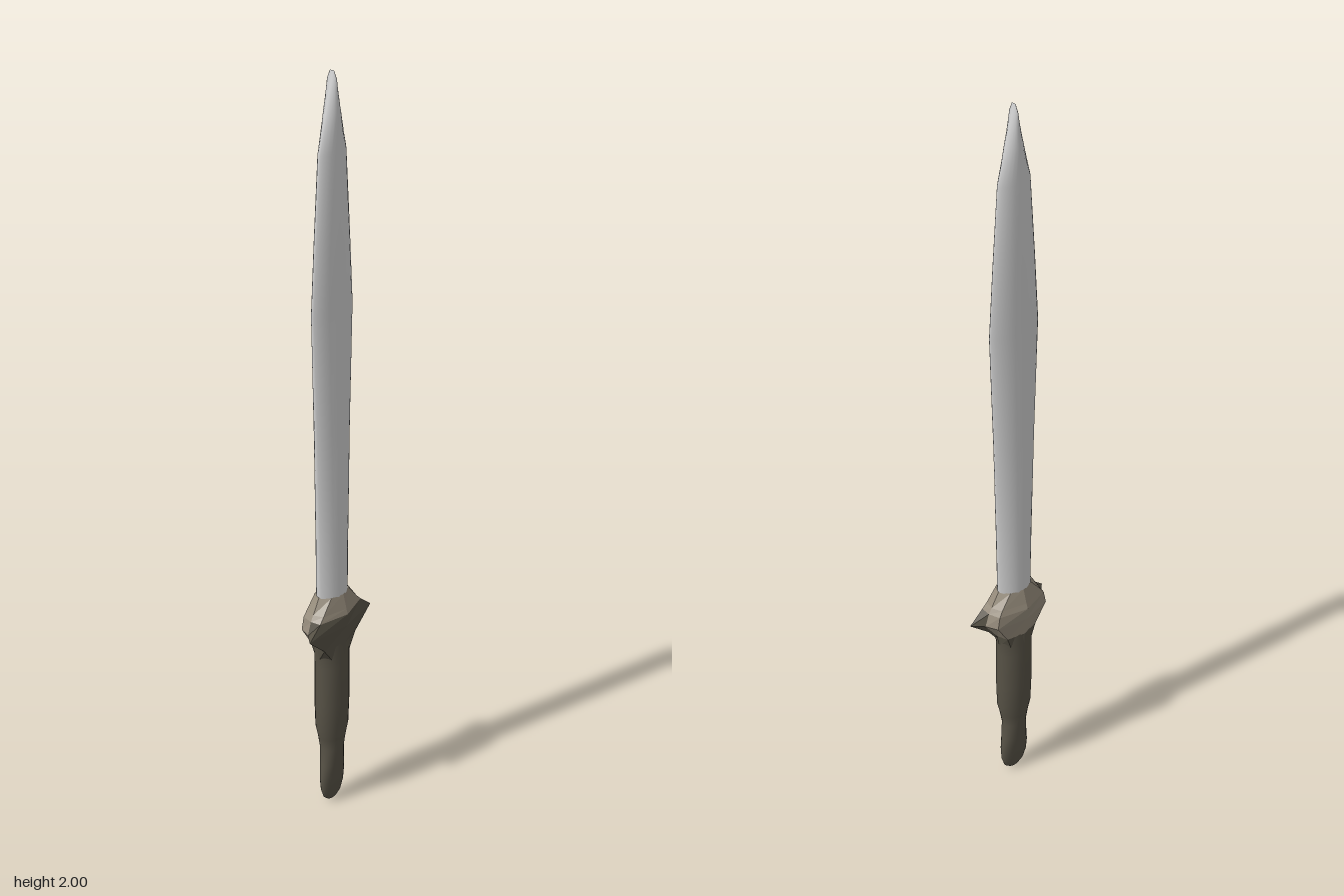
import * as THREE from 'three';

const material = (name, color) => {
  const m = new THREE.MeshStandardMaterial({ color });
  m.name = name;
  return m;
};

// Skin a list of rings of [x, y, z] points; rings run from bottom to top,
// points run from front (+z) towards +x.
function loft(rings, isSecond) {
  const n = rings[0].length;
  const index = [[], []];
  for (let r = 0; r < rings.length - 1; r++) {
    for (let i = 0; i < n; i++) {
      const j = (i + 1) % n;
      const a = r * n + i, b = r * n + j, c = a + n, d = b + n;
      index[isSecond && isSecond(r, i) ? 1 : 0].push(a, b, d, a, d, c);
    }
  }
  const g = new THREE.BufferGeometry();
  g.setAttribute('position', new THREE.Float32BufferAttribute(rings.flat(2), 3));
  g.setIndex([...index[0], ...index[1]]);
  g.addGroup(0, index[0].length, 0);
  g.addGroup(index[0].length, index[1].length, 1);
  return g;
}

// Oval ring; a power above 1 pinches the sides into a lens with sharp edges.
function oval([y, halfWidth, halfDepth], power = 1, sides = 24) {
  return Array.from({ length: sides }, (_, i) => {
    const t = (i / sides) * Math.PI * 2;
    const c = Math.cos(t);
    return [Math.sin(t) * halfWidth, y, Math.sign(c) * Math.abs(c) ** power * halfDepth];
  });
}

// Eight-point ring mirrored in x: front centre, front corner, side, back corner, back centre.
function guardRing([y, front, cornerX, cornerZ, side, backX, backZ, back]) {
  const half = [[cornerX, y, cornerZ], [side, y, 0], [backX, y, backZ]];
  const mirrored = half.map(([x, h, z]) => [-x, h, z]).reverse();
  return [[0, y, front], ...half, [0, y, back], ...mirrored];
}

export function createModel() {
  const group = new THREE.Group();
  const steel = material('steel', 0xcfcfcf);
  const leather = material('dark leather', 0x575246);
  const bronze = material('dull bronze', 0x958b7b);

  const add = (name, geometry, mat) => {
    geometry.computeVertexNormals();
    const mesh = new THREE.Mesh(geometry, mat);
    mesh.name = name;
    group.add(mesh);
  };

  // Leaf-shaped blade: [y, half width, half depth]
  const blade = [
    [0.59, 0.052, 0.036], [0.8, 0.057, 0.034], [1.1, 0.066, 0.031], [1.42, 0.078, 0.028],
    [1.6, 0.066, 0.026], [1.81, 0.05, 0.023], [1.9, 0.026, 0.02], [1.98, 0.005, 0.014],
    [2.0, 0.0005, 0.006],
  ];
  add('blade', loft(blade.map((s) => oval(s, 1.4))), [steel, steel]);

  // Waisted grip ending in a rounded pommel
  const grip = [
    [0, 0.0005, 0.0005], [0.004, 0.018, 0.007], [0.018, 0.034, 0.013], [0.045, 0.043, 0.018],
    [0.08, 0.045, 0.022], [0.12, 0.04, 0.026], [0.17, 0.035, 0.03], [0.205, 0.041, 0.034],
    [0.24, 0.05, 0.039], [0.32, 0.052, 0.042], [0.43, 0.051, 0.042], [0.47, 0.053, 0.041],
    [0.52, 0.06, 0.04],
  ];
  add('grip', loft(grip.map((s) => oval(s))), [leather, leather]);

  // Faceted guard: leather front with pointed corners, bronze back and collar
  const guard = [
    [0.46, 0.041, 0.036, 0.029, 0.052, 0.036, -0.029, -0.041],
    [0.5, 0.042, 0.065, 0.026, 0.06, 0.05, -0.03, -0.042],
    [0.555, 0.048, 0.128, 0.028, 0.1, 0.085, -0.032, -0.05],
    [0.59, 0.051, 0.085, 0.028, 0.088, 0.078, -0.031, -0.053],
    [0.605, 0.047, 0.07, 0.027, 0.078, 0.068, -0.029, -0.048],
    [0.645, 0.037, 0.036, 0.026, 0.054, 0.036, -0.026, -0.037],
  ];
  const isBronze = (r, i) => r >= 3 || (r >= 1 && i >= 2 && i <= 5);
  const guardGeometry = loft(guard.map(guardRing), isBronze).toNonIndexed();
  add('guard', guardGeometry, [leather, bronze]);

  return group;
}
